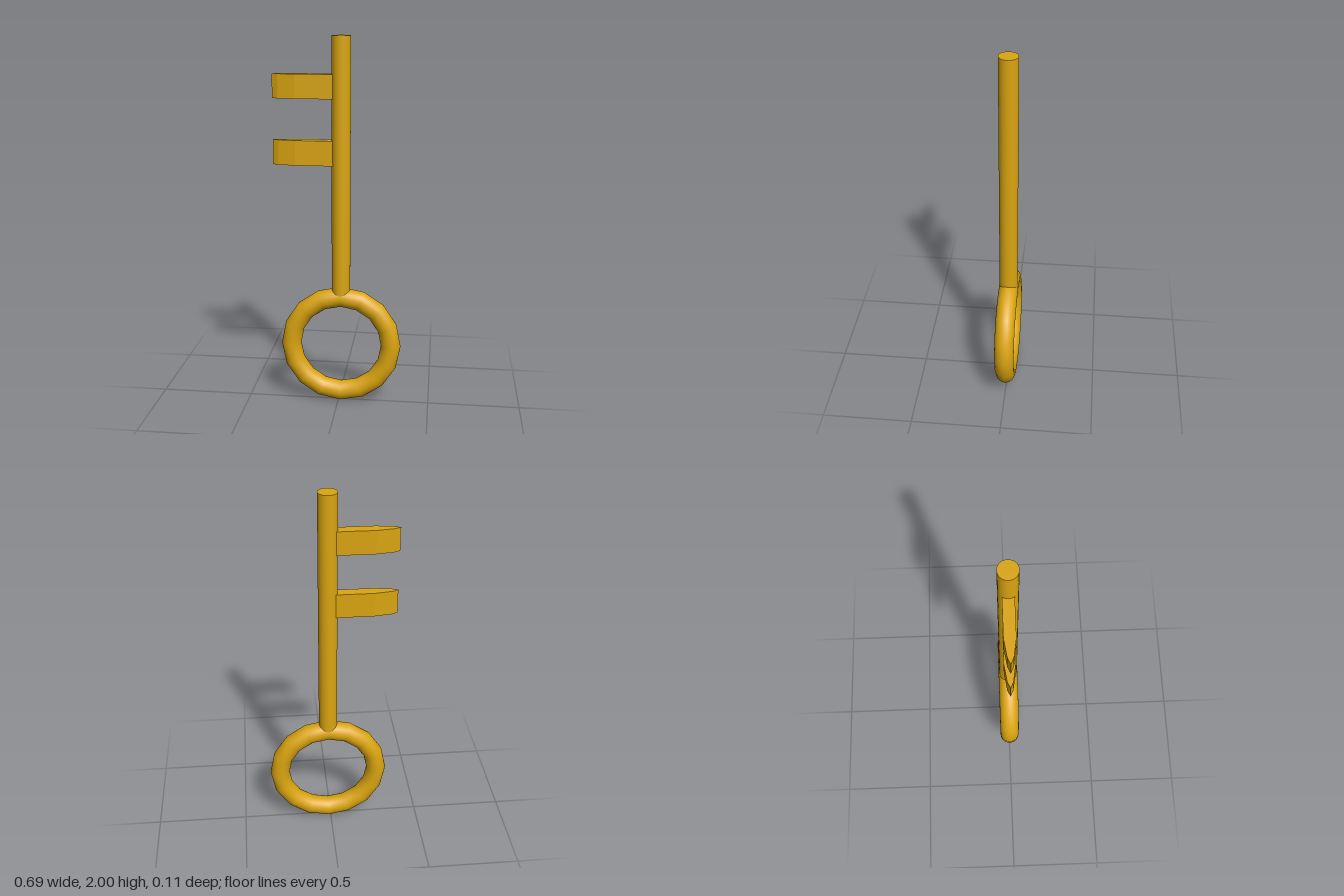
import * as THREE from 'three';

export function createModel() {
  const key = new THREE.Group();
  key.name = 'key';
  const gold = new THREE.MeshStandardMaterial({ color: 0xdaa510 });
  gold.name = 'gold';
  const axisX = 0.014;

  const add = (name, geometry, x, y, z = 0) => {
    const mesh = new THREE.Mesh(geometry, gold);
    mesh.name = name;
    mesh.position.set(x, y, z);
    key.add(mesh);
    return mesh;
  };

  // Ring handle, coarse around the loop but smooth in section
  add('bow', new THREE.TorusGeometry(0.275, 0.054, 24, 16), axisX, 0.33);

  // Round shaft, sunk into the top of the ring
  add('shaft', new THREE.CylinderGeometry(0.05, 0.05, 1.4, 32), axisX, 1.3);

  // Teeth: tapered plan outline extruded upwards
  const plan = new THREE.Shape([
    [0.01, -0.029], [0.01, 0.029], [-0.225, 0.029], [-0.315, 0.015],
    [-0.347, 0], [-0.315, -0.015], [-0.225, -0.029],
  ].map(([x, z]) => new THREE.Vector2(x, z)));
  for (const [name, bottom, top] of [['lowerTooth', 1.332, 1.464], ['upperTooth', 1.68, 1.806]]) {
    const tooth = new THREE.ExtrudeGeometry(plan, { depth: top - bottom, bevelEnabled: false });
    tooth.rotateX(-Math.PI / 2);
    add(name, tooth, 0, bottom);
  }

  return key;
}
